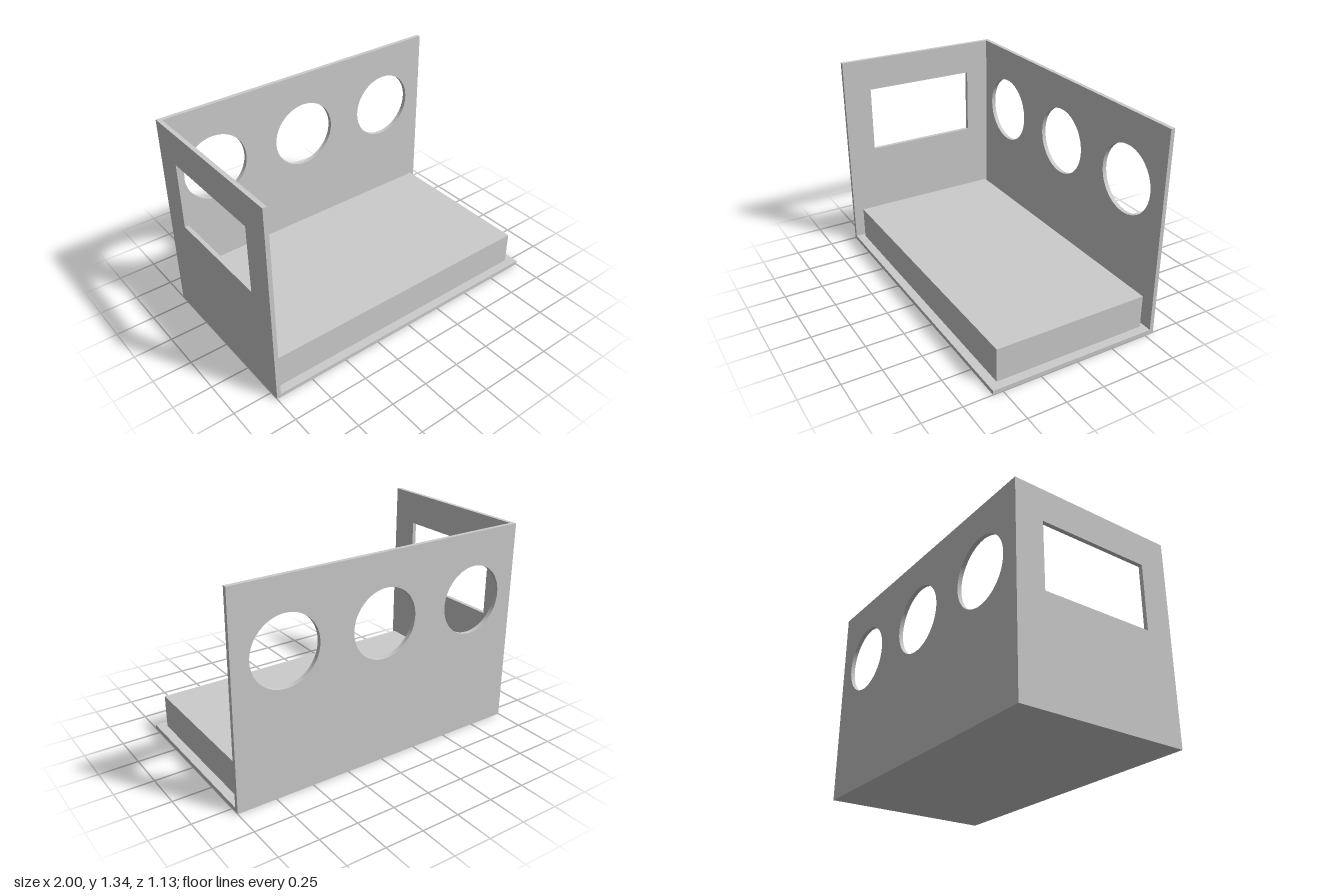
import * as THREE from 'three';

const W = 2, H = 1.335, D = 1.127, T = 0.027; // overall size and panel thickness
const material = new THREE.MeshStandardMaterial({ color: 0xcccccc });

function addMesh(group, name, geometry, x, y, z) {
  const mesh = new THREE.Mesh(geometry, material);
  mesh.name = name;
  mesh.position.set(x, y, z);
  group.add(mesh);
  return mesh;
}

// Rectangular outline, centred horizontally
function rect(Type, x0, y0, x1, y1) {
  return new Type([[x0, y0], [x1, y0], [x1, y1], [x0, y1]].map(([x, y]) => new THREE.Vector2(x, y)));
}

// Upright panel of thickness T with openings
function panel(width, holes) {
  const shape = rect(THREE.Shape, -width / 2, T, width / 2, H);
  shape.holes.push(...holes);
  return new THREE.ExtrudeGeometry(shape, { depth: T, bevelEnabled: false, curveSegments: 48 });
}

export function createModel() {
  const group = new THREE.Group();
  group.name = 'openRoom';

  // Floor slab
  addMesh(group, 'floor', new THREE.BoxGeometry(W, T, D), 0, T / 2, 0);

  // Back wall with three round windows
  const portholes = [-0.667, 0, 0.667].map((x) => {
    const hole = new THREE.Path();
    hole.absarc(x, 0.902, 0.22, 0, Math.PI * 2, true);
    return hole;
  });
  addMesh(group, 'backWall', panel(W, portholes), 0, 0, -D / 2);

  // Side wall with a rectangular window, butting against the back wall
  const shift = T / 2; // wall centre sits forward by half the back wall's thickness
  const opening = rect(THREE.Path, -0.376 + shift, 0.682, 0.376 + shift, 1.121);
  const sideWall = addMesh(group, 'sideWall', panel(D - T, [opening]), -W / 2, 0, shift);
  sideWall.rotation.y = Math.PI / 2;

  // Raised platform resting on the floor
  const top = 0.246;
  addMesh(group, 'platform', new THREE.BoxGeometry(1.885, top - T, 1.015), 0, (top + T) / 2, 0);

  return group;
}
